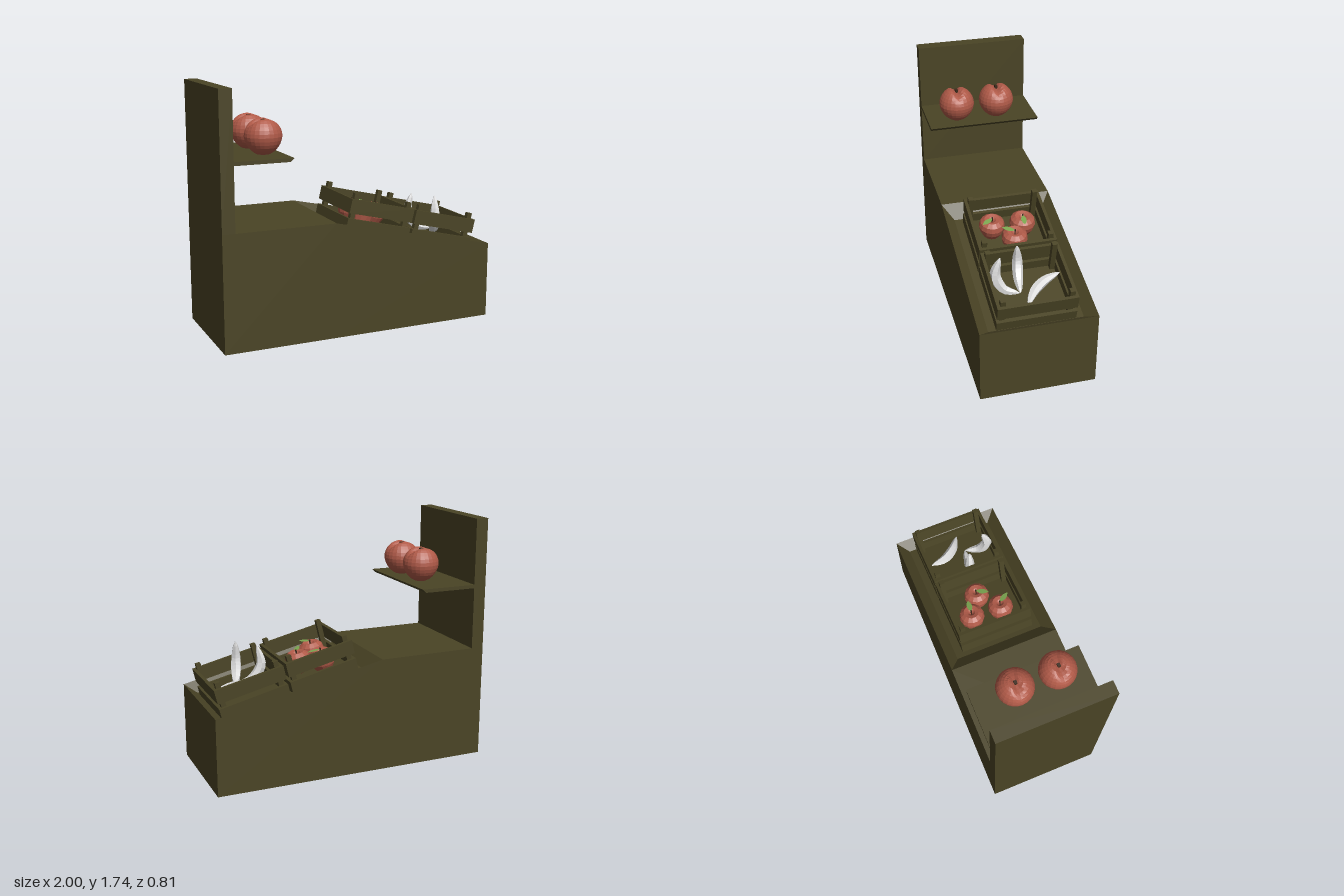
import * as THREE from 'three';

const mat = (name, color) => {
  const m = new THREE.MeshStandardMaterial({ color });
  m.name = name;
  return m;
};

export function createModel() {
  const wood = mat('dark wood', 0x4a4425);
  const red = mat('apple red', 0xb05a48);
  const pale = mat('pale banana', 0xe0e0e0);
  const green = mat('leaf green', 0x7ba650);
  const brown = mat('stem brown', 0x3c2a1a);
  for (const m of [red, pale]) m.flatShading = true;
  green.side = THREE.DoubleSide;

  const root = new THREE.Group();
  root.name = 'marketStall';

  const add = (parent, name, geo, material, x = 0, y = 0, z = 0) => {
    const m = new THREE.Mesh(geo, material);
    m.name = name;
    m.position.set(x, y, z);
    parent.add(m);
    return m;
  };
  const box = (parent, name, w, h, d, x, y, z) =>
    add(parent, name, new THREE.BoxGeometry(w, h, d), wood, x, y, z);

  // Counter body: flat top, sloping display sunk into a bevelled tray
  const W = 0.403;
  const tris = [];
  const quad = (a, b, c, d) => tris.push(...a, ...b, ...c, ...a, ...c, ...d);
  const side = [[-1, 0], [-0.2, 0], [1, 0], [1, 0.545], [-0.2, 0.81], [-1, 0.81]];
  const L = side.map(([x, y]) => [x, y, W]);
  const R = side.map(([x, y]) => [x, y, -W]);
  quad(L[0], L[1], L[4], L[5]);
  quad(L[1], L[2], L[3], L[4]);
  quad(R[1], R[0], R[5], R[4]);
  quad(R[2], R[1], R[4], R[3]);
  quad(L[2], R[2], R[3], L[3]);
  quad(R[0], L[0], L[5], R[5]);
  quad(L[5], L[4], R[4], R[5]);
  quad(R[0], R[2], L[2], L[0]);
  const rim = [L[4], L[3], R[3], R[4]];
  const tray = [[-0.11, 0.72, 0.327], [0.92, 0.493, 0.327], [0.92, 0.493, -0.327], [-0.11, 0.72, -0.327]];
  for (let i = 0; i < 4; i++) {
    const j = (i + 1) % 4;
    quad(rim[i], rim[j], tray[j], tray[i]);
  }
  quad(...tray);
  const bodyGeo = new THREE.BufferGeometry();
  bodyGeo.setAttribute('position', new THREE.Float32BufferAttribute(tris, 3));
  bodyGeo.computeVertexNormals();
  add(root, 'counter', bodyGeo, wood);

  // Back board and shelf with a slanted lip
  box(root, 'backBoard', 0.09, 0.93, W * 2, -0.955, 1.275, 0);
  const lip = new THREE.Shape([[-0.91, 1.25], [-0.525, 1.25], [-0.5, 1.275], [-0.91, 1.275]]
    .map(p => new THREE.Vector2(...p)));
  add(root, 'shelf', new THREE.ExtrudeGeometry(lip, { depth: W * 2, bevelEnabled: false }), wood, 0, 0, -W);

  // Large fruit on the shelf, creased along the top
  const fruitGeo = new THREE.SphereGeometry(0.128, 24, 16);
  const p = fruitGeo.attributes.position;
  for (let i = 0; i < p.count; i++) {
    const x = p.getX(i), y = p.getY(i), z = p.getZ(i);
    const taper = y < 0 ? 1 + 0.7 * y : 1;
    const crease = y > 0 ? 0.038 * (y / 0.128) ** 2 * Math.exp(-((z / 0.028) ** 2)) : 0;
    p.setXYZ(i, x * taper, Math.max(y, -0.122) - crease, z * taper);
  }
  fruitGeo.computeVertexNormals();
  for (const z of [-0.115, 0.183]) {
    const fruit = new THREE.Group();
    fruit.name = 'shelfFruit';
    fruit.position.set(-0.635, 1.397, z);
    add(fruit, 'fruitBody', fruitGeo, red);
    add(fruit, 'fruitStem', new THREE.BoxGeometry(0.025, 0.03, 0.02), brown, 0, 0.098, 0);
    root.add(fruit);
  }

  // Slatted crates lying on the slope
  function crate(x, y) {
    const g = new THREE.Group();
    g.name = 'crate';
    g.position.set(x, y, 0);
    g.rotation.z = -0.235;
    for (const s of [-1, 1]) {
      for (const [h, n] of [[0.1, 0], [0.085, -0.13]]) {
        box(g, 'sideSlat', 0.5, h, 0.022, 0, n, s * 0.262);
        box(g, 'endSlat', 0.022, h, 0.51, s * 0.239, n, 0);
      }
      for (const t of [-1, 1]) box(g, 'cornerPost', 0.035, 0.265, 0.035, s * 0.21, -0.043, t * 0.233);
    }
    box(g, 'crateBottom', 0.47, 0.015, 0.51, 0, -0.163, 0);
    root.add(g);
  }
  crate(0.207, 0.829);
  crate(0.711, 0.7045);

  // Apples with stem and leaf
  const appleGeo = new THREE.LatheGeometry([
    [0, -0.07], [0.03, -0.08], [0.06, -0.062], [0.083, -0.02], [0.092, 0.02],
    [0.083, 0.055], [0.055, 0.078], [0.028, 0.072], [0, 0.045],
  ].map(q => new THREE.Vector2(...q)), 14);
  const leafShape = new THREE.Shape();
  leafShape.moveTo(0, 0);
  leafShape.quadraticCurveTo(0.045, 0.04, 0.095, 0);
  leafShape.quadraticCurveTo(0.045, -0.04, 0, 0);
  const leafGeo = new THREE.ShapeGeometry(leafShape, 5).rotateX(-Math.PI / 2);
  const apples = [
    [0.13, 0.768, -0.115, -0.2, -0.1],
    [0.275, 0.745, -0.02, -0.2, -2.1],
    [0.12, 0.768, 0.105, -0.2, -1.0],
  ];
  for (const [x, y, z, tilt, turn] of apples) {
    const g = new THREE.Group();
    g.name = 'apple';
    g.position.set(x, y, z);
    g.rotation.z = tilt;
    add(g, 'appleBody', appleGeo, red);
    add(g, 'appleStem', new THREE.CylinderGeometry(0.006, 0.004, 0.05, 6), brown, 0, 0.068, 0);
    const leaf = add(g, 'appleLeaf', leafGeo, green, 0, 0.085, 0);
    leaf.rotation.y = turn;
    root.add(g);
  }

  // Bananas: curved tubes that taper to both tips
  function banana(points, radius) {
    const curve = new THREE.CatmullRomCurve3(points.map(q => new THREE.Vector3(...q)));
    const N = 12, sides = 6;
    const geo = new THREE.TubeGeometry(curve, N, radius, sides);
    const pos = geo.attributes.position, v = new THREE.Vector3();
    for (let i = 0; i < pos.count; i++) {
      const t = Math.floor(i / (sides + 1)) / N;
      const c = curve.getPointAt(t);
      v.fromBufferAttribute(pos, i).sub(c).multiplyScalar(0.08 + 0.92 * Math.sin(Math.PI * t) ** 0.7).add(c);
      pos.setXYZ(i, v.x, v.y, v.z);
    }
    geo.computeVertexNormals();
    add(root, 'banana', geo, pale);
  }
  banana([[0.66, 0.69, -0.23], [0.685, 0.66, -0.12], [0.75, 0.635, -0.03], [0.85, 0.6, 0.04]], 0.036);
  banana([[0.715, 0.61, 0.055], [0.6, 0.645, 0.04], [0.535, 0.745, 0.03], [0.56, 0.885, 0.04]], 0.037);
  banana([[0.715, 0.61, 0.06], [0.68, 0.635, 0.16], [0.66, 0.74, 0.215], [0.67, 0.885, 0.185]], 0.039);

  return root;
}
